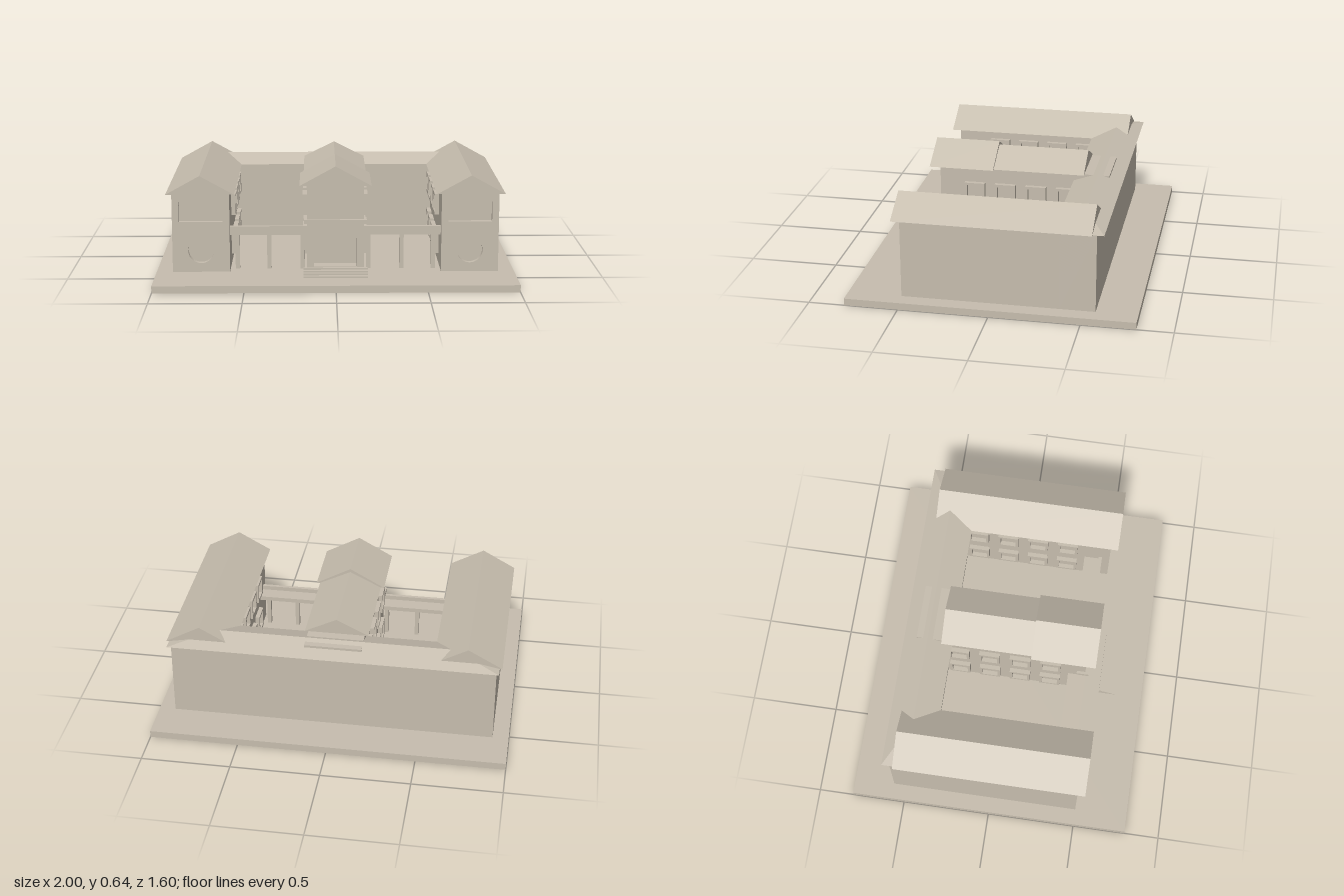
import * as THREE from 'three';
import { ConvexGeometry } from 'three/addons/geometries/ConvexGeometry.js';

export function createModel() {
  const model = new THREE.Group();
  const stone = new THREE.MeshStandardMaterial({ color: 0xc6bdae, flatShading: true });
  stone.name = 'warm stone';

  const add = (name, geometry) => {
    const mesh = new THREE.Mesh(geometry, stone);
    mesh.name = name;
    model.add(mesh);
    return mesh;
  };
  // Box given by its extents on each axis
  const box = (name, x0, x1, y0, y1, z0, z1) => {
    const g = new THREE.BoxGeometry(x1 - x0, y1 - y0, z1 - z0);
    g.translate((x0 + x1) / 2, (y0 + y1) / 2, (z0 + z1) / 2);
    return add(name, g);
  };
  const rect = (Kind, x0, x1, y0, y1) => new Kind([
    new THREE.Vector2(x0, y0), new THREE.Vector2(x1, y0),
    new THREE.Vector2(x1, y1), new THREE.Vector2(x0, y1)]);
  const extrude = (shape, depth) =>
    new THREE.ExtrudeGeometry(shape, { depth, bevelEnabled: false, curveSegments: 20 });
  // Gable roof running along z
  const gable = (name, x, half, eave, ridge, z0, z1) => {
    const s = new THREE.Shape([new THREE.Vector2(x - half, eave),
      new THREE.Vector2(x + half, eave), new THREE.Vector2(x, ridge)]);
    add(name, extrude(s, z1 - z0).translate(0, 0, z0));
  };
  // Two rows of projecting window frames on a wall facing along x
  const windowRows = (name, wallX, dir) => {
    for (const y of [0.155, 0.38]) for (const z of [0.245, 0.067, -0.112, -0.29]) {
      const s = rect(THREE.Shape, -0.06, 0.06, -0.06, 0.06);
      s.holes.push(rect(THREE.Path, -0.045, 0.045, -0.045, 0.045));
      const frame = add(name, extrude(s, 0.025));
      frame.rotation.y = dir * Math.PI / 2;
      frame.position.set(wallX, y, z);
    }
  };

  // Ground slab
  box('base', -1, 1, 0, 0.04, -0.8, 0.8);

  // Side wings with recessed upper opening and round opening at the front
  for (const side of [-1, 1]) {
    const cx = 0.75 * side;
    box('wingBody', cx - 0.16, cx + 0.16, 0.04, 0.49, -0.53, 0.47);
    const front = rect(THREE.Shape, cx - 0.16, cx + 0.16, 0.04, 0.49);
    front.holes.push(rect(THREE.Path, cx - 0.122, cx + 0.122, 0.325, 0.44));
    const round = new THREE.Path();
    round.absarc(cx, 0.162, 0.072, 0, Math.PI * 2, true);
    front.holes.push(round);
    add('wingFront', extrude(front, 0.03).translate(0, 0, 0.47));
    gable('wingRoof', cx, 0.19, 0.49, 0.595, -0.547, 0.543);
    windowRows('wingWindowFrame', 0.59 * side, -side);
  }

  // Rear wing with a low hipped roof
  box('rearBody', -0.91, 0.91, 0.04, 0.49, -0.57, -0.37);
  add('rearRoof', new ConvexGeometry([
    [-0.925, 0.49, -0.61], [0.925, 0.49, -0.61], [0.925, 0.49, -0.33], [-0.925, 0.49, -0.33],
    [-0.67, 0.54, -0.47], [0.67, 0.54, -0.47],
  ].map(p => new THREE.Vector3(...p))));

  // Central block with a doorway, stepped roofs and a ledge over the door
  box('centreBody', -0.16, 0.16, 0.04, 0.53, -0.535, 0.37);
  const entrance = rect(THREE.Shape, -0.16, 0.16, 0.04, 0.53);
  entrance.holes.push(rect(THREE.Path, -0.12, 0.12, 0.055, 0.22));
  add('entranceFront', extrude(entrance, 0.08).translate(0, 0, 0.37));
  box('entranceLedge', -0.175, 0.175, 0.305, 0.328, 0.4, 0.47);
  gable('centreRoof', 0, 0.18, 0.53, 0.62, -0.39, 0.14);
  gable('entranceRoof', 0, 0.2, 0.53, 0.64, 0.133, 0.505);
  for (const side of [-1, 1]) windowRows('centreWindowFrame', 0.16 * side, side);

  // Covered walkways joining the central block and the wings
  for (const side of [-1, 1]) {
    const cx = 0.375 * side;
    box('walkwayRoof', cx - 0.215, cx + 0.215, 0.24, 0.265, 0.35, 0.455);
    box('walkwayParapet', cx - 0.215, cx + 0.215, 0.265, 0.29, 0.435, 0.455);
    for (const x of [0.185, 0.372, 0.55]) {
      box('walkwayColumn', x * side - 0.012, x * side + 0.012, 0.04, 0.24, 0.41, 0.434);
    }
  }

  // Entrance steps
  for (let i = 0; i < 4; i++) {
    box('step', -0.178, 0.178, 0.04 + 0.009 * i, 0.049 + 0.009 * i, 0.545, 0.64 - 0.025 * i);
  }
  return model;
}
